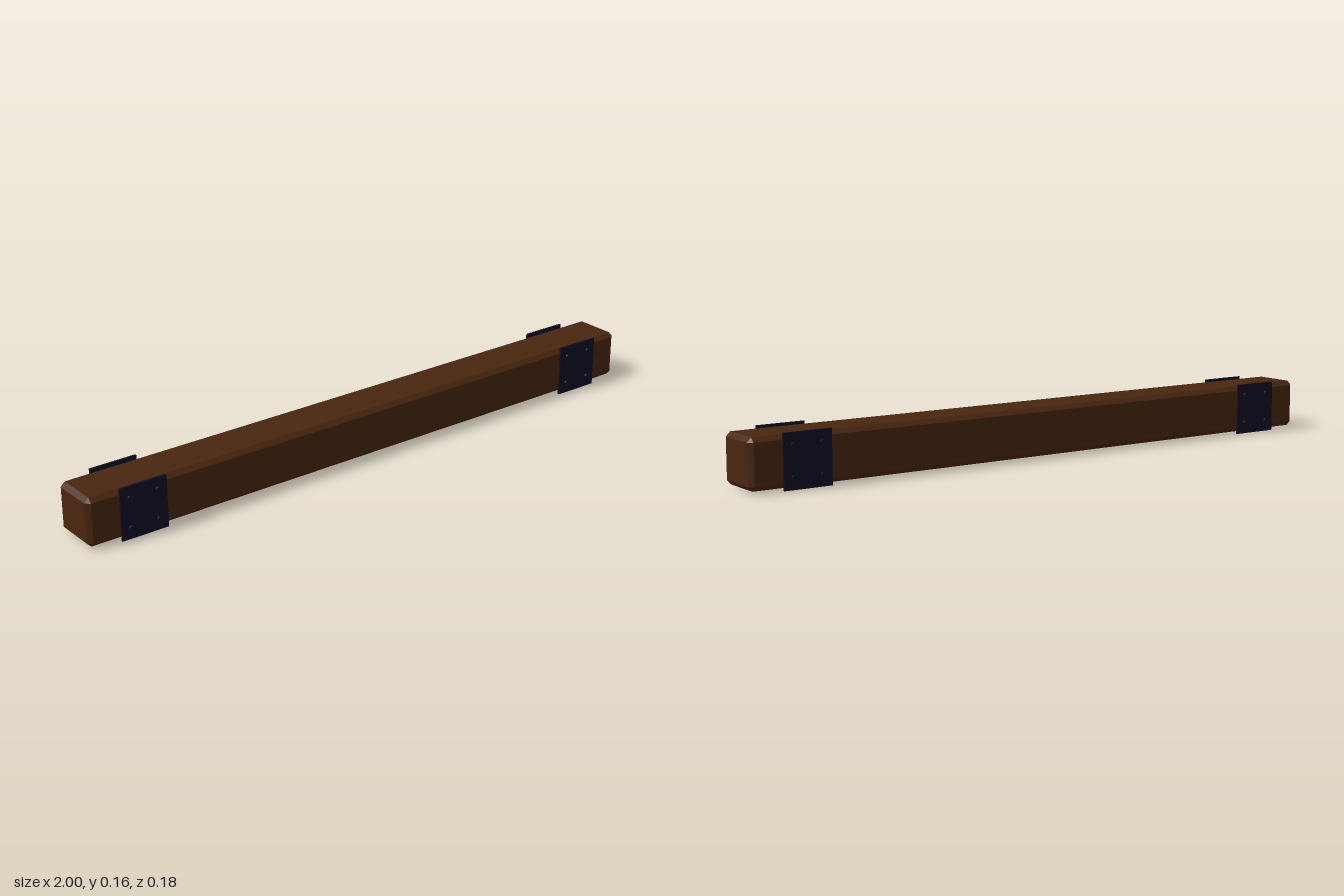
import * as THREE from 'three';
import { ConvexGeometry } from 'three/addons/geometries/ConvexGeometry.js';

// Box with a single flat chamfer on every edge
function chamferedBox(w, h, d, c) {
  const half = [w / 2, h / 2, d / 2];
  const points = [];
  for (let full = 0; full < 3; full++) {
    for (const sx of [-1, 1]) for (const sy of [-1, 1]) for (const sz of [-1, 1]) {
      const p = [sx, sy, sz].map((s, i) => s * (half[i] - (i === full ? 0 : c)));
      points.push(new THREE.Vector3(...p));
    }
  }
  return new ConvexGeometry(points);
}

export function createModel() {
  const wood = new THREE.MeshStandardMaterial({ color: 0x4a2610 });
  wood.name = 'dark wood';
  const iron = new THREE.MeshStandardMaterial({ color: 0x0f0f26 });
  iron.name = 'dark iron';

  const model = new THREE.Group();
  model.name = 'woodenBeam';
  const midY = 0.081;

  // Timber
  const beam = new THREE.Mesh(chamferedBox(2, 0.149, 0.153, 0.0135), wood);
  beam.name = 'beam';
  beam.position.y = midY;
  model.add(beam);

  // Iron plates with four bolts each, on both faces near both ends
  const plateGeometry = new THREE.BoxGeometry(0.15, 0.161, 0.006);
  const boltGeometry = new THREE.CylinderGeometry(0.0075, 0.0075, 0.012, 8).rotateX(Math.PI / 2);
  for (const sx of [-1, 1]) for (const sz of [-1, 1]) {
    const bracket = new THREE.Group();
    bracket.name = `${sz > 0 ? 'front' : 'back'}${sx > 0 ? 'Left' : 'Right'}Bracket`;
    bracket.position.set(sx * 0.825, midY, sz * 0.079);
    const plate = new THREE.Mesh(plateGeometry, iron);
    plate.name = 'plate';
    bracket.add(plate);
    for (const bx of [-1, 1]) for (const by of [-1, 1]) {
      const bolt = new THREE.Mesh(boltGeometry, iron);
      bolt.name = 'bolt';
      bolt.position.set(bx * 0.045, by * 0.0455, sz * 0.003);
      bracket.add(bolt);
    }
    model.add(bracket);
  }
  return model;
}
